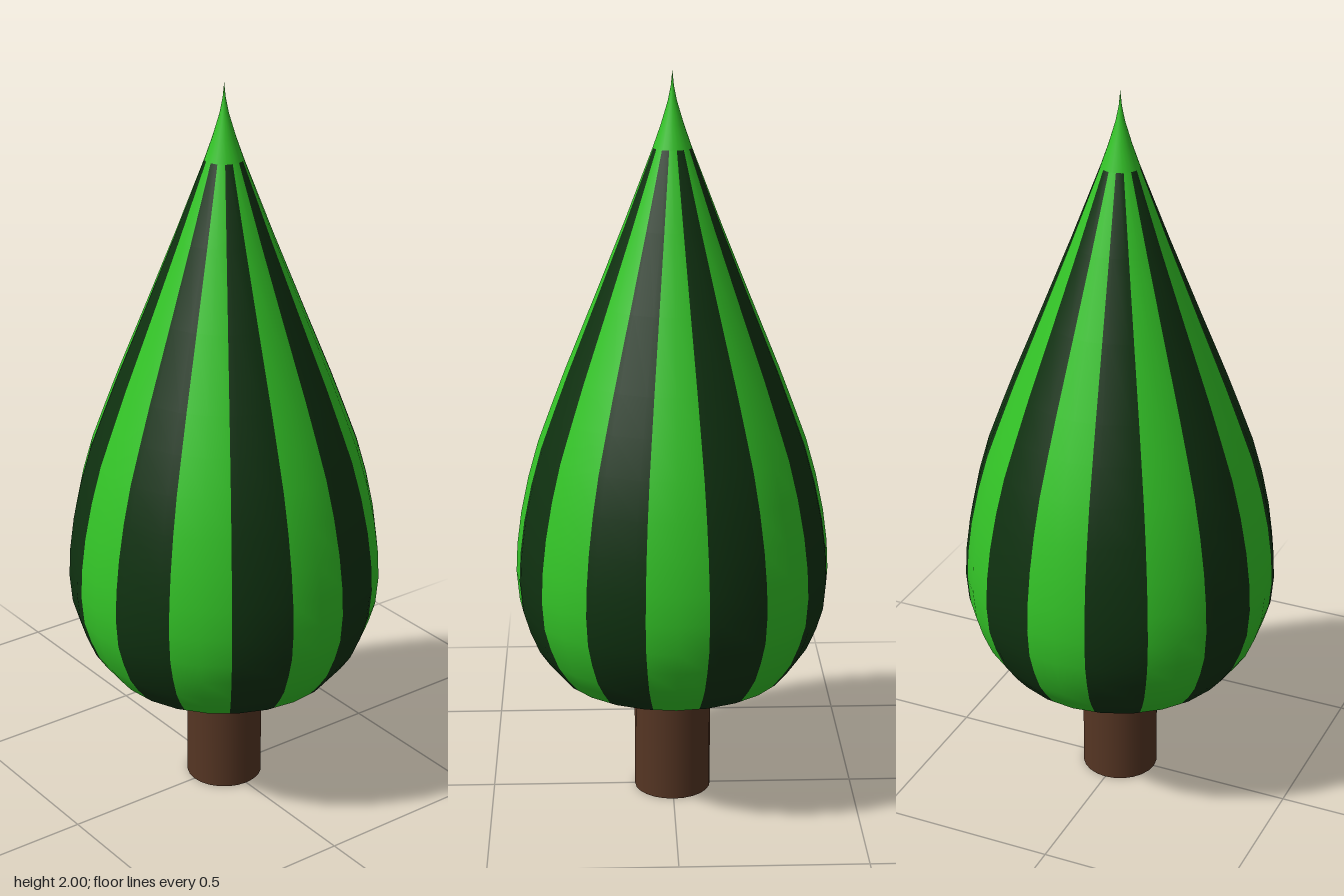
import * as THREE from 'three';
import { mergeGeometries } from 'three/addons/utils/BufferGeometryUtils.js';

const SIDES = 24, STRIPES = 16;

export function createModel() {
  const lightGreen = new THREE.MeshStandardMaterial({ color: 0x33c327 });
  lightGreen.name = 'light green';
  const darkGreen = new THREE.MeshStandardMaterial({ color: 0x0f3110 });
  darkGreen.name = 'dark green';
  const bark = new THREE.MeshStandardMaterial({ color: 0x553523 });
  bark.name = 'bark brown';

  const tree = new THREE.Group();
  tree.name = 'tree';
  const add = (name, geometry, material, parent = tree) => {
    const mesh = new THREE.Mesh(geometry, material);
    mesh.name = name;
    parent.add(mesh);
    return mesh;
  };
  const points = (list) => list.map(([r, y]) => new THREE.Vector2(r, y));

  // Crown outline: bulging bottom, straight shoulders, needle tip
  const side = points([
    [0.315, 0.36], [0.348, 0.4], [0.375, 0.44], [0.4, 0.5], [0.418, 0.56], [0.425, 0.64],
    [0.421, 0.72], [0.409, 0.81], [0.388, 0.91], [0.36, 1.01], [0.323, 1.11],
    [0.285, 1.21], [0.208, 1.4], [0.128, 1.6], [0.051, 1.8],
  ]);
  const underside = points([[0, 0.36], [0.315, 0.36]]);
  const tip = points([[0.051, 1.8], [0.03, 1.86], [0.012, 1.92], [0.004, 1.96], [0, 2]]);

  // Cut the circle at every polygon corner and every stripe edge
  const step = (Math.PI * 2) / SIDES, stripe = (Math.PI * 2) / STRIPES;
  const cuts = [];
  for (let i = 0; i <= SIDES; i++) cuts.push(i * step);
  for (let i = 0; i < STRIPES; i++) cuts.push((i + 0.5) * stripe);
  cuts.sort((a, b) => a - b);

  // One wedge of the crown, pulled onto the flat sides of the polygon
  function wedge(profile, from, to) {
    const geometry = new THREE.LatheGeometry(profile, 1, from, to - from);
    const middle = (Math.floor((from + to) / 2 / step) + 0.5) * step;
    const p = geometry.attributes.position;
    for (let i = 0; i < p.count; i++) {
      const angle = i < profile.length ? from : to;
      const k = Math.cos(step / 2) / Math.cos(angle - middle);
      p.setXYZ(i, p.getX(i) * k, p.getY(i), p.getZ(i) * k);
    }
    return geometry;
  }

  // Alternating stripes, continued across the underside
  const wedges = [[], []];
  for (let i = 0; i < cuts.length - 1; i++) {
    const from = cuts[i], to = cuts[i + 1];
    const colour = Math.round((from + to) / 2 / stripe) % 2;
    wedges[colour].push(wedge(side, from, to), wedge(underside, from, to));
  }
  const crown = new THREE.Group();
  crown.name = 'crown';
  tree.add(crown);
  add('lightStripes', mergeGeometries(wedges[0]), lightGreen, crown);
  add('darkStripes', mergeGeometries(wedges[1]), darkGreen, crown);
  add('crownTip', new THREE.LatheGeometry(tip, SIDES), lightGreen, crown);

  // Trunk, running slightly into the crown
  add('trunk', new THREE.CylinderGeometry(0.105, 0.105, 0.4, SIDES), bark).position.y = 0.2;

  return tree;
}
